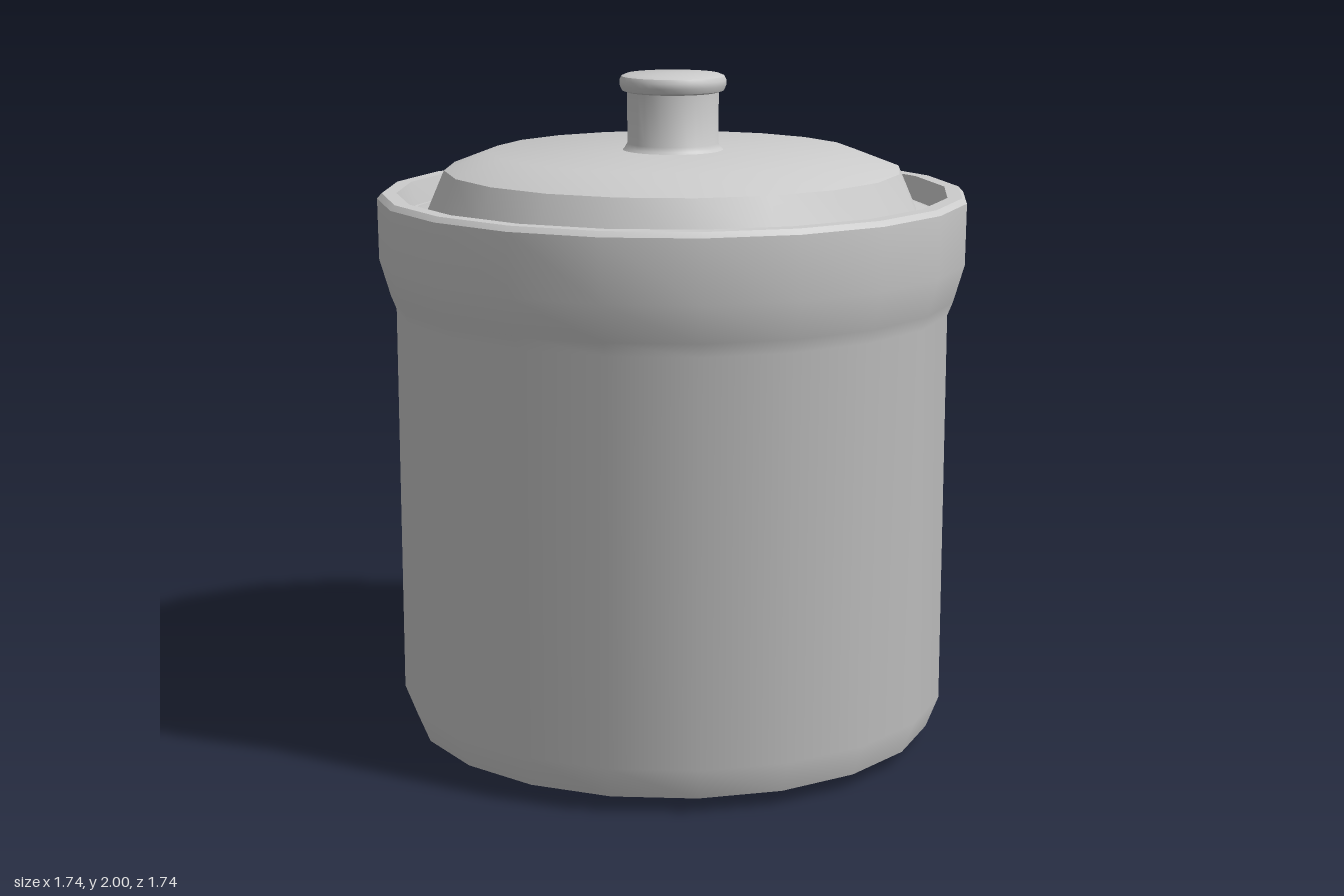
import * as THREE from 'three';
import { toCreasedNormals } from 'three/addons/utils/BufferGeometryUtils.js';

const material = new THREE.MeshStandardMaterial({ color: 0xcccccc });

// Revolves a [radius, height] profile, keeping its sharp corners sharp
function turned(name, profile, sides) {
  const points = profile.map(([r, y]) => new THREE.Vector2(r, y));
  const geometry = toCreasedNormals(new THREE.LatheGeometry(points, sides), 0.65);
  const mesh = new THREE.Mesh(geometry, material);
  mesh.name = name;
  return mesh;
}

export function createModel() {
  const model = new THREE.Group();
  model.name = 'lidded crock';

  // Jar: chamfered foot, straight wall, flared collar, rim, ledge and hollow inside
  model.add(turned('jar', [
    [0, 0], [0.68, 0.005], [0.785, 0.045], [0.822, 0.14], [0.822, 1.31],
    [0.838, 1.35], [0.87, 1.46], [0.872, 1.64], [0.858, 1.655], [0.815, 1.655],
    [0.8, 1.585], [0.72, 1.58], [0.72, 0.14], [0.66, 0.08], [0, 0.08],
  ], 20));

  // Lid: flat flange on the ledge, steep shoulder and nearly flat top
  model.add(turned('lid', [
    [0, 1.56], [0.7, 1.56], [0.7, 1.582], [0.79, 1.585], [0.73, 1.592],
    [0.675, 1.72], [0.54, 1.772], [0, 1.777],
  ], 20));

  // Knob: flared base, straight neck and rounded cap
  model.add(turned('lidKnob', [
    [0.15, 1.774], [0.142, 1.782], [0.135, 1.795], [0.135, 1.945], [0.15, 1.95],
    [0.157, 1.965], [0.158, 1.98], [0.152, 1.992], [0.138, 1.998], [0, 2],
  ], 32));

  return model;
}
